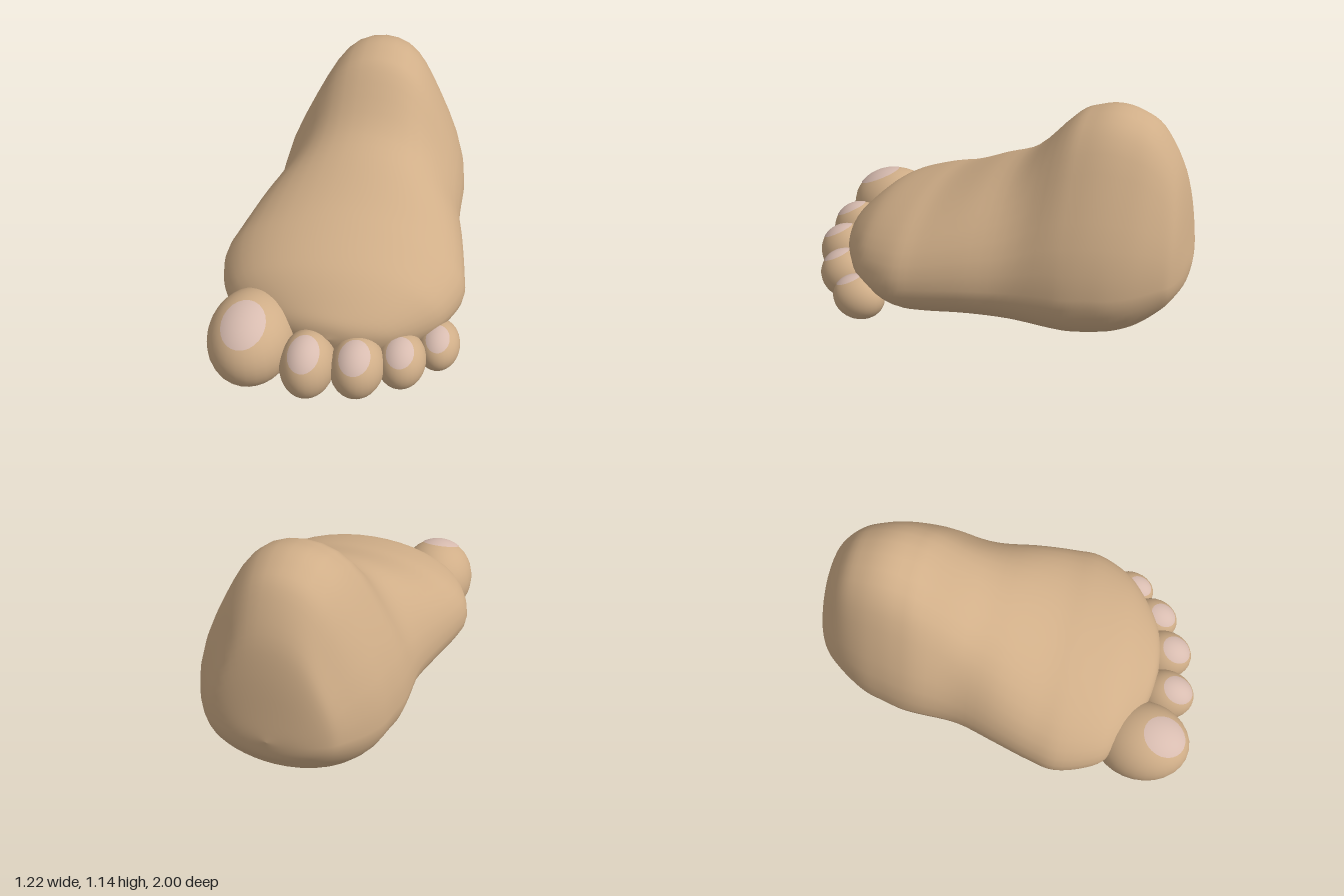
import * as THREE from 'three';

const skin = new THREE.MeshStandardMaterial({ color: 0xd0ae88 });
skin.name = 'skin';
const nail = new THREE.MeshStandardMaterial({ color: 0xd8bcb0 });
nail.name = 'nail';

// Cross-sections from heel to toes: z, right edge, left edge, sole, widest height, top
const SECTIONS = [
  [-1, 0, 0, 0.4, 0.4, 0.4],
  [-0.985, -0.15, 0.15, 0.31, 0.4, 0.51],
  [-0.95, -0.26, 0.27, 0.25, 0.4, 0.73],
  [-0.9, -0.32, 0.33, 0.18, 0.4, 0.9],
  [-0.8, -0.39, 0.4, 0.09, 0.38, 1.06],
  [-0.7, -0.44, 0.45, 0.04, 0.37, 1.12],
  [-0.6, -0.465, 0.48, 0.015, 0.37, 1.14],
  [-0.5, -0.485, 0.5, 0.002, 0.36, 1.12],
  [-0.4, -0.49, 0.505, 0, 0.36, 1.07],
  [-0.2, -0.49, 0.51, 0.02, 0.34, 0.87],
  [0, -0.54, 0.55, 0.025, 0.33, 0.78],
  [0.2, -0.59, 0.585, 0.012, 0.31, 0.69],
  [0.34, -0.61, 0.595, 0.015, 0.3, 0.65],
  [0.5, -0.56, 0.53, 0.05, 0.3, 0.595],
  [0.6, -0.48, 0.44, 0.08, 0.3, 0.54],
  [0.7, -0.29, 0.3, 0.15, 0.31, 0.45],
  [0.75, -0.13, 0.16, 0.23, 0.32, 0.39],
  [0.768, 0.02, 0.02, 0.32, 0.32, 0.32],
];

// Foot skin lofted through the smoothed cross-sections
function footGeometry(steps = 68, around = 40) {
  const curve = (o) => new THREE.CatmullRomCurve3(
    SECTIONS.map((s) => new THREE.Vector3(s[o], s[o + 1], s[o + 2])), false, 'catmullrom', 0.5);
  const plan = curve(0), side = curve(3);
  const pos = [], index = [];
  for (let i = 0; i <= steps; i++) {
    const { x: z, y: xr, z: xl } = plan.getPoint(i / steps);
    const { x: sole, y: mid, z: top } = side.getPoint(i / steps);
    // The ankle sections are drawn in between the dome and the heel
    const pinch = 0.14 * THREE.MathUtils.smoothstep(top, 0.7, 1);
    for (let j = 0; j < around; j++) {
      const a = (j / around) * Math.PI * 2;
      const s = Math.sin(a);
      const narrow = s > 0 ? 1 - pinch * Math.sin(2 * a) ** 2 : 1;
      pos.push(
        (xl + xr) / 2 + ((xl - xr) / 2) * Math.cos(a) * narrow,
        mid + s * (s > 0 ? top - mid : mid - sole),
        z);
      if (i === steps) continue;
      const k = (j + 1) % around;
      const p = i * around + j, q = i * around + k;
      index.push(p, q, p + around, q, q + around, p + around);
    }
  }
  const g = new THREE.BufferGeometry();
  g.setAttribute('position', new THREE.Float32BufferAttribute(pos, 3));
  g.setIndex(index);
  g.computeVertexNormals();
  return g;
}

// Toes: name, centre, radii, half-angle of the nail
const TOES = [
  ['bigToe', [-0.347, 0.25, 0.75], [0.205, 0.215, 0.25], 0.52],
  ['secondToe', [-0.062, 0.207, 0.825], [0.128, 0.162, 0.16], 0.6],
  ['thirdToe', [0.162, 0.196, 0.785], [0.127, 0.15, 0.152], 0.6],
  ['fourthToe', [0.353, 0.179, 0.69], [0.116, 0.132, 0.14], 0.58],
  ['littleToe', [0.507, 0.16, 0.54], [0.104, 0.115, 0.134], 0.56],
];

function makeToe([name, centre, radii, nailAngle]) {
  const toe = new THREE.Group();
  toe.name = name;
  const pad = new THREE.Mesh(new THREE.SphereGeometry(1, 28, 20).scale(...radii), skin);
  pad.name = name + 'Pad';
  // Nail: a thin cap hugging the upper front of the toe
  const cap = new THREE.SphereGeometry(1.012, 24, 8, 0, Math.PI * 2, 0, nailAngle);
  const plate = new THREE.Mesh(cap.rotateX(0.47).scale(...radii), nail);
  plate.name = name + 'Nail';
  toe.add(pad, plate);
  toe.position.set(...centre);
  return toe;
}

export function createModel() {
  const model = new THREE.Group();
  model.name = 'foot';
  const body = new THREE.Mesh(footGeometry(), skin);
  body.name = 'heelAnkleAndInstep';
  model.add(body, ...TOES.map(makeToe));
  return model;
}
